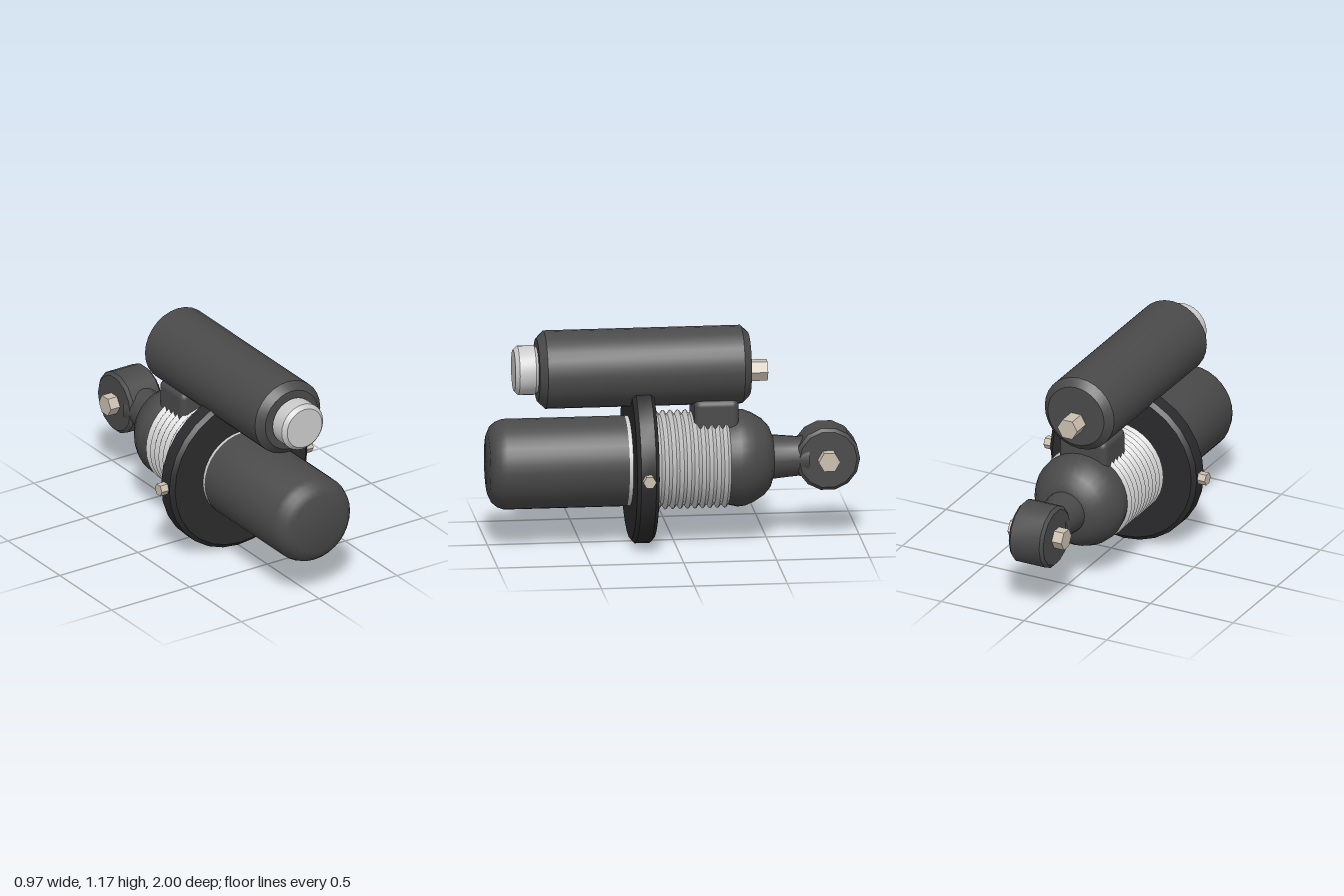
import * as THREE from 'three';
import { toCreasedNormals } from 'three/addons/utils/BufferGeometryUtils.js';
import { RoundedBoxGeometry } from 'three/addons/geometries/RoundedBoxGeometry.js';

const AXIS = 0.447;     // height of the main damper axis
const TANK = 0.963;     // height of the reservoir axis

export function createModel() {
  const model = new THREE.Group();
  const mat = (color, flatShading = false) => new THREE.MeshStandardMaterial({ color, flatShading });
  const dark = mat(0x4a4a4b);
  const black = mat(0x2b2b2d);
  const silver = mat(0xcccccc);
  const steel = mat(0xcbc0b0, true);

  const add = (name, geometry, material, x, y, z) => {
    const mesh = new THREE.Mesh(geometry, material);
    mesh.name = name;
    mesh.position.set(x, y, z);
    model.add(mesh);
    return mesh;
  };

  // Turned solid from [radius, position along axis] pairs, position ascending
  const turned = (points, segments, crease = 0.6) => {
    const pts = points.map(([r, t]) => new THREE.Vector2(r, t));
    pts.unshift(new THREE.Vector2(0, pts[0].y));
    pts.push(new THREE.Vector2(0, pts[pts.length - 1].y));
    return toCreasedNormals(new THREE.LatheGeometry(pts, segments), crease);
  };
  const alongZ = (name, points, segments, material, y, crease) =>
    add(name, turned(points, segments, crease).rotateX(Math.PI / 2), material, 0, y, 0);

  // Front damper body with a softly rounded nose
  alongZ('damperBody', [
    [0.243, 0.26], [0.243, 0.915], [0.23, 0.952], [0.205, 0.982], [0.165, 1.0],
  ], 32, dark, AXIS, 1.0);

  // Threaded sleeve: plain at the collar, ridged behind it
  const thread = [];
  const ridges = 10, steps = 6, back = -0.29, front = 0.11;
  for (let i = 0; i <= ridges * steps; i++) {
    const wave = 0.5 - 0.5 * Math.cos((i / steps) * Math.PI * 2);
    thread.push([0.246 + 0.021 * wave, back + (front - back) * i / (ridges * steps)]);
  }
  thread.push([0.241, 0.12], [0.241, 0.265]);
  alongZ('threadedSleeve', thread, 32, silver, AXIS, 0.9);

  // Large spring collar
  alongZ('springCollar', [
    [0.42, 0.12], [0.443, 0.14], [0.443, 0.22], [0.42, 0.24],
  ], 28, black, AXIS);

  // Domed rear cap
  alongZ('rearCap', [
    [0.11, -0.535], [0.165, -0.515], [0.205, -0.48], [0.24, -0.425],
    [0.258, -0.38], [0.262, -0.34], [0.248, -0.28],
  ], 32, dark, AXIS, 0.9);

  // Neck leading to the mounting eye
  alongZ('neck', [
    [0.116, -0.72], [0.106, -0.67], [0.12, -0.52],
  ], 20, dark, AXIS);

  // Mounting eye, turned across the model
  add('mountingEye', turned([
    [0.155, -0.104], [0.173, -0.088], [0.173, 0.088], [0.155, 0.104],
  ], 14).rotateZ(-Math.PI / 2), dark, 0, AXIS, -0.823);

  // Piggyback reservoir and its silver end cap
  alongZ('reservoir', [
    [0.17, -0.405], [0.21, -0.365], [0.21, 0.695], [0.17, 0.735],
  ], 28, dark, TANK);
  alongZ('reservoirCap', [
    [0.112, 0.725], [0.133, 0.75], [0.133, 0.838], [0.112, 0.86],
  ], 28, silver, TANK);

  // Block joining the reservoir to the damper
  add('bridge', new RoundedBoxGeometry(0.29, 0.22, 0.24, 2, 0.035), dark, 0, 0.69, -0.22);

  // Hex bolts
  const hex = (r, length) => new THREE.CylinderGeometry(r, r, length, 6);
  for (const side of [1, -1]) {
    const label = side > 0 ? 'left' : 'right';
    add(label + 'CollarBolt', hex(0.035, 0.08).rotateZ(Math.PI / 2), steel, side * 0.447, AXIS, 0.18);
    add(label + 'EyeBolt', hex(0.058, 0.08).rotateZ(Math.PI / 2), steel, side * 0.123, AXIS, -0.823);
  }
  add('reservoirBolt', hex(0.06, 0.14).rotateY(Math.PI / 6).rotateX(Math.PI / 2), steel, 0, 0.927, -0.435);

  return model;
}
